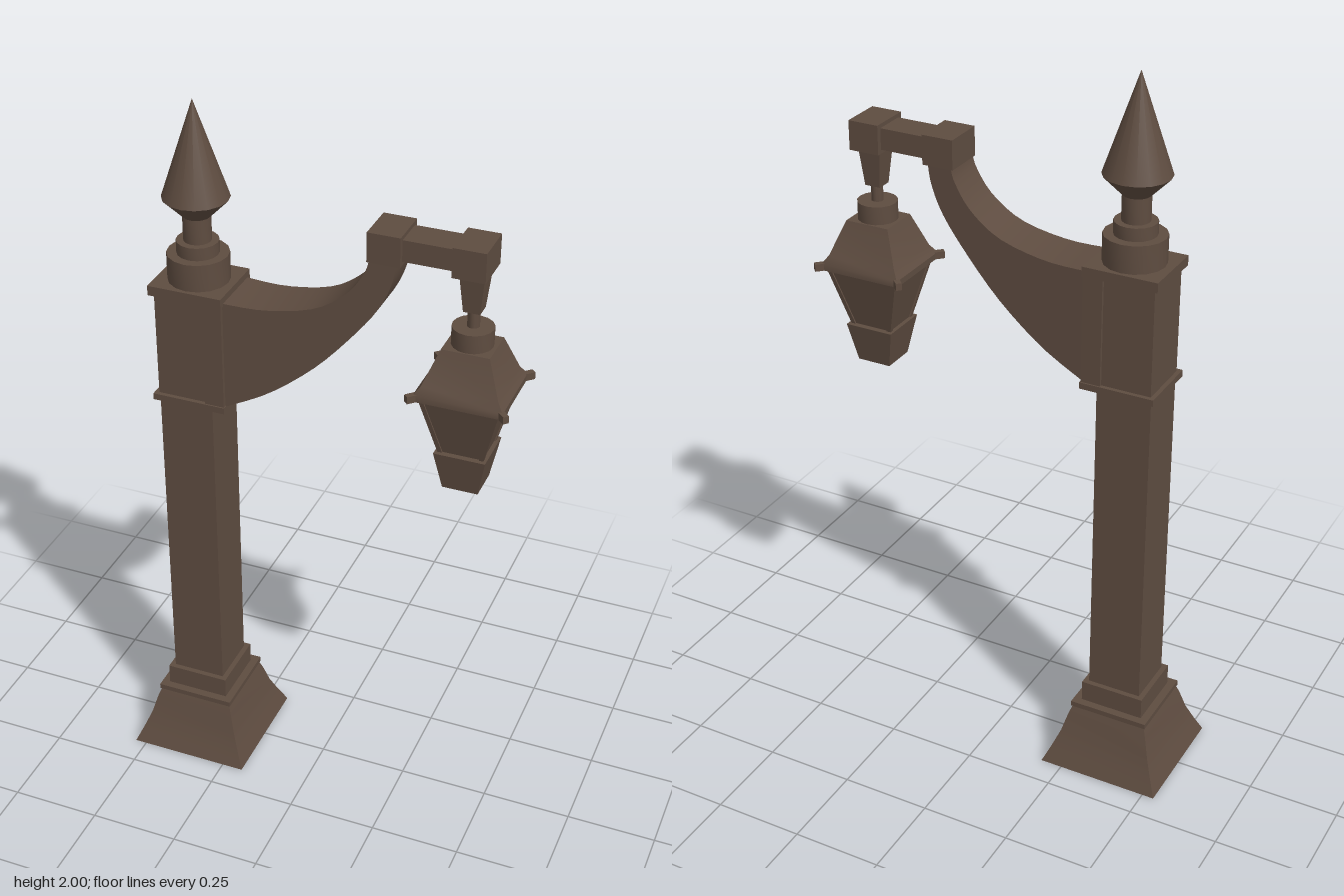
import * as THREE from 'three';
import { toCreasedNormals } from 'three/addons/utils/BufferGeometryUtils.js';

const iron = new THREE.MeshStandardMaterial({ color: 0x5e4c40 });
iron.name = 'brown painted iron';

export function createModel() {
  const model = new THREE.Group();
  model.name = 'streetLamp';

  const add = (name, geometry, parent = model) => {
    const mesh = new THREE.Mesh(toCreasedNormals(geometry, 0.6), iron);
    mesh.name = name;
    parent.add(mesh);
    return mesh;
  };

  // Box given by its extents in x and y and its half depth
  const box = (name, x0, x1, y0, y1, halfZ, parent) =>
    add(name, new THREE.BoxGeometry(x1 - x0, y1 - y0, halfZ * 2)
      .translate((x0 + x1) / 2, (y0 + y1) / 2, 0), parent);

  // Square profile [half width, y], swept round four sides
  const square = (name, x, profile, depthScale = 1, parent) => {
    const pts = profile.map(([r, y]) => new THREE.Vector2(r * Math.SQRT2, y));
    return add(name, new THREE.LatheGeometry(pts, 4, Math.PI / 4)
      .scale(1, 1, depthScale).translate(x, 0, 0), parent);
  };

  // Round profile [radius, y]
  const round = (name, x, profile, parent) => {
    const pts = profile.map(([r, y]) => new THREE.Vector2(r, y));
    return add(name, new THREE.LatheGeometry(pts, 16).translate(x, 0, 0), parent);
  };

  // Flared foot with a shallow recess underneath, plinth and post
  const postX = -0.361;
  square('flaredBase', postX, [
    [0, 0.06], [0.02, 0.06], [0.172, 0], [0.152, 0.045], [0.132, 0.095],
    [0.117, 0.15], [0.108, 0.175], [0.112, 0.175], [0.112, 0.19], [0, 0.19],
  ]);
  box('plinth', postX - 0.09, postX + 0.09, 0.185, 0.25, 0.09);
  box('post', postX - 0.0755, postX + 0.0755, 0.24, 1.18, 0.0755);

  // Post head with lips and a raised strip by the arm
  const head = new THREE.Group();
  head.name = 'postHead';
  model.add(head);
  box('headCore', -0.437, -0.25, 1.175, 1.505, 0.08, head);
  box('lowerLip', -0.449, -0.244, 1.17, 1.188, 0.092, head);
  box('upperLip', -0.449, -0.244, 1.483, 1.51, 0.092, head);
  box('armStrip', -0.3, -0.246, 1.18, 1.49, 0.088, head);

  // Stacked collars and spear finial
  round('finial', -0.345, [
    [0, 1.5], [0.082, 1.5], [0.082, 1.585], [0.056, 1.585], [0.056, 1.62],
    [0.037, 1.62], [0.037, 1.688], [0.088, 1.74], [0, 2],
  ]);

  // Curved bracket arm, narrowing in depth towards its tip
  const v = (x, y) => new THREE.Vector2(x, y);
  const armShape = new THREE.Shape();
  armShape.moveTo(-0.25, 1.183);
  armShape.splineThru([v(-0.125, 1.25), v(0, 1.35), v(0.1, 1.46),
    v(0.167, 1.55), v(0.2, 1.625), v(0.21, 1.685)]);
  armShape.lineTo(0.142, 1.685);
  armShape.splineThru([v(0.13, 1.645), v(0.085, 1.58), v(0, 1.522),
    v(-0.13, 1.493), v(-0.25, 1.492)]);
  const armGeo = new THREE.ExtrudeGeometry(armShape,
    { depth: 2, bevelEnabled: false, curveSegments: 3 }).translate(0, 0, -1);
  const p = armGeo.attributes.position;
  for (let i = 0; i < p.count; i++) {
    p.setZ(i, p.getZ(i) * (0.077 - 0.053 * (p.getX(i) + 0.25)));
  }
  add('bracketArm', armGeo);

  // Crossbar between two blocks
  box('innerBlock', 0.135, 0.222, 1.676, 1.756, 0.058);
  box('crossbar', 0.21, 0.36, 1.687, 1.745, 0.044);
  box('outerBlock', 0.352, 0.438, 1.676, 1.756, 0.058);

  // Hanging lantern
  const lampX = 0.396;
  const lantern = new THREE.Group();
  lantern.name = 'lantern';
  model.add(lantern);
  square('hangerStem', lampX, [[0, 1.57], [0.022, 1.57], [0.033, 1.68]], 1, lantern);
  round('hangerRod', lampX, [[0.016, 1.515], [0.016, 1.575]], lantern);
  round('lanternCap', lampX, [[0.054, 1.47], [0.054, 1.525], [0, 1.525]], lantern);
  square('lanternRoof', lampX, [
    [0, 1.34], [0.117, 1.34], [0.117, 1.357], [0.1, 1.38], [0.063, 1.475], [0, 1.475],
  ], 0.91, lantern);
  square('lanternBody', lampX, [[0, 1.17], [0.056, 1.17], [0.102, 1.345]], 0.92, lantern);
  square('lanternFoot', lampX, [
    [0, 1.065], [0.048, 1.065], [0.069, 1.175], [0, 1.175],
  ], 1, lantern);

  // Corner spikes under the eaves and slim corner ribs
  for (const sx of [-1, 1]) for (const sz of [-1, 1]) {
    const spike = add('eaveSpike', new THREE.BoxGeometry(0.016, 0.02, 0.05), lantern);
    spike.position.set(lampX + sx * 0.112, 1.35, sz * 0.1);
    spike.rotation.y = sx * sz * Math.PI / 4;
    const from = new THREE.Vector3(lampX + sx * 0.055, 1.175, sz * 0.051);
    const to = new THREE.Vector3(lampX + sx * 0.099, 1.343, sz * 0.091);
    const rib = add('cornerRib', new THREE.BoxGeometry(0.012, from.distanceTo(to), 0.012), lantern);
    rib.position.copy(from).lerp(to, 0.5);
    rib.quaternion.setFromUnitVectors(new THREE.Vector3(0, 1, 0), to.sub(from).normalize());
  }

  return model;
}
